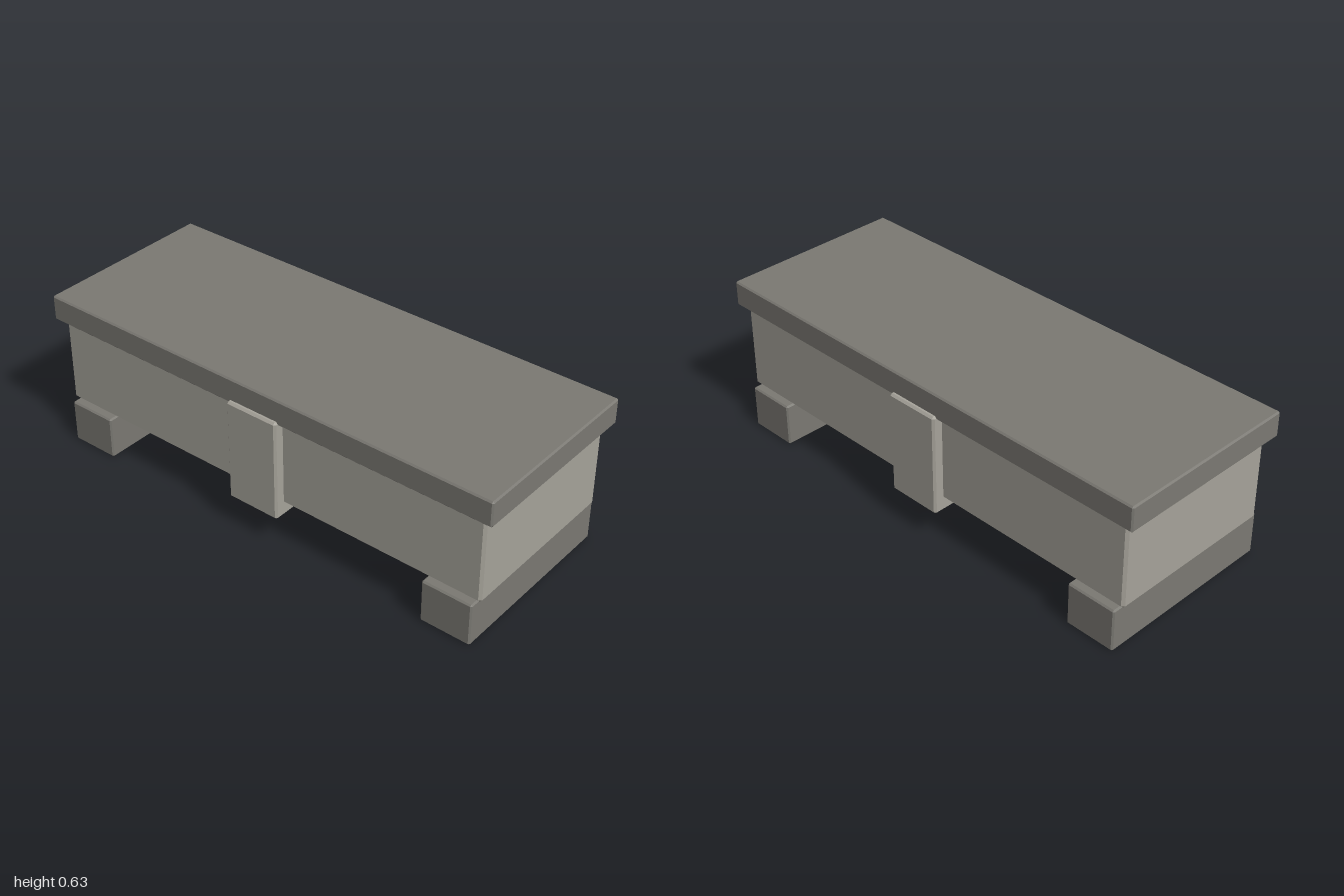
import * as THREE from 'three';
import { ConvexGeometry } from 'three/addons/geometries/ConvexGeometry.js';

// Box with every edge and corner cut by a flat chamfer c
function chamferBox(w, h, d, c) {
  const half = [w / 2, h / 2, d / 2];
  const points = [];
  for (const sx of [-1, 1]) for (const sy of [-1, 1]) for (const sz of [-1, 1]) {
    for (let axis = 0; axis < 3; axis++) {
      // one point per face meeting at this corner
      const p = [sx, sy, sz].map((s, i) => s * (half[i] - (i === axis ? 0 : c)));
      points.push(new THREE.Vector3(...p));
    }
  }
  return new ConvexGeometry(points);
}

export function createModel() {
  const group = new THREE.Group();
  const lightStone = new THREE.MeshStandardMaterial({ color: 0xa6a39a });
  lightStone.name = 'light stone';
  const darkStone = new THREE.MeshStandardMaterial({ color: 0x7b7973 });
  darkStone.name = 'dark stone';

  // Adds a chamfered block spanning y0..y1, centred on x and z = 0
  function block(name, material, x, y0, y1, w, d, c) {
    const mesh = new THREE.Mesh(chamferBox(w, y1 - y0, d, c), material);
    mesh.name = name;
    mesh.position.set(x, (y0 + y1) / 2, 0);
    group.add(mesh);
  }

  // Overhanging slab, chest and the band wrapped around its middle
  block('lid', darkStone, 0, 0.529, 0.632, 2, 0.754, 0.006);
  block('body', lightStone, 0, 0.178, 0.529, 1.926, 0.704, 0.01);
  block('centreBand', lightStone, 0, 0.126, 0.544, 0.226, 0.786, 0.008);

  // Two feet running front to back
  for (const [name, side] of [['leftFoot', 1], ['rightFoot', -1]]) {
    block(name, darkStone, side * 0.843, 0, 0.176, 0.206, 0.754, 0.006);
  }
  return group;
}
